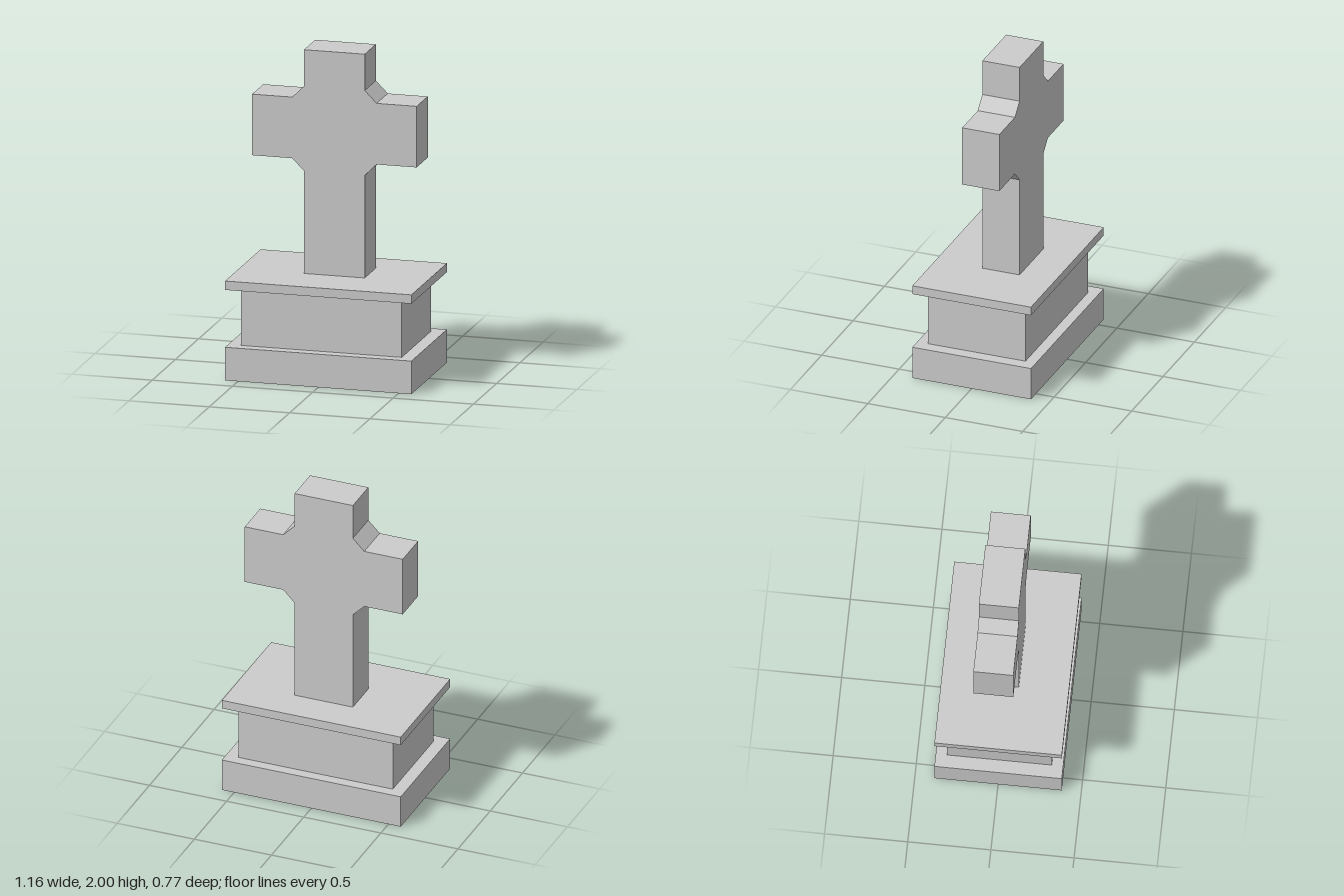
import * as THREE from 'three';

const material = new THREE.MeshStandardMaterial({ color: 0xcccccc, flatShading: true, side: THREE.DoubleSide });

function addMesh(parent, name, geometry) {
  const mesh = new THREE.Mesh(geometry, material);
  mesh.name = name;
  parent.add(mesh);
  return mesh;
}

// Joins rectangular rings [halfWidth, y, halfDepth] into an open shell, optionally capped on top
function rectShell(rings, capped = false) {
  const positions = [];
  const indices = [];
  for (const [w, y, d] of rings) {
    positions.push(-w, y, d, w, y, d, w, y, -d, -w, y, -d);
  }
  for (let r = 0; r < rings.length - 1; r++) {
    for (let i = 0; i < 4; i++) {
      const a = r * 4 + i;
      const b = r * 4 + (i + 1) % 4;
      indices.push(a, b, b + 4, a, b + 4, a + 4);
    }
  }
  if (capped) {
    const t = (rings.length - 1) * 4;
    indices.push(t, t + 1, t + 2, t, t + 2, t + 3);
  }
  const indexed = new THREE.BufferGeometry();
  indexed.setAttribute('position', new THREE.Float32BufferAttribute(positions, 3));
  indexed.setIndex(indices);
  const geometry = indexed.toNonIndexed();
  geometry.computeVertexNormals();
  return geometry;
}

// Cross outline with chamfered inner corners, around the middle of the arms
function crossShape(stem, arm, armHalf, chamfer, top, bottom) {
  const right = [
    [stem, bottom],
    [stem, -armHalf - chamfer],
    [stem + chamfer, -armHalf],
    [arm, -armHalf],
    [arm, armHalf],
    [stem + chamfer, armHalf],
    [stem, armHalf + chamfer],
    [stem, top],
  ];
  const left = right.map(([x, y]) => [-x, y]).reverse();
  return new THREE.Shape([...right, ...left].map(([x, y]) => new THREE.Vector2(x, y)));
}

export function createModel() {
  const model = new THREE.Group();
  model.name = 'graveCross';

  // Hollow stepped pedestal, open underneath
  const pedestal = new THREE.Group();
  pedestal.name = 'pedestal';
  model.add(pedestal);
  addMesh(pedestal, 'plinth', rectShell([[0.58, 0, 0.383], [0.58, 0.205, 0.383], [0.5, 0.205, 0.315]]));
  addMesh(pedestal, 'pedestalBody', rectShell([[0.5, 0.205, 0.315], [0.5, 0.56, 0.315]]));
  addMesh(pedestal, 'capSlab', rectShell([[0.5, 0.56, 0.315], [0.58, 0.56, 0.383], [0.58, 0.615, 0.383]], true));

  // Cross, set slightly off the pedestal's centre
  const armY = 1.512;
  const shape = crossShape(0.189, 0.512, 0.189, 0.074, 2 - armY, 0.615 - armY);
  const cross = addMesh(model, 'cross', new THREE.ExtrudeGeometry(shape, { depth: 0.24, bevelEnabled: false }));
  cross.position.set(0.014, armY, -0.157);

  return model;
}
